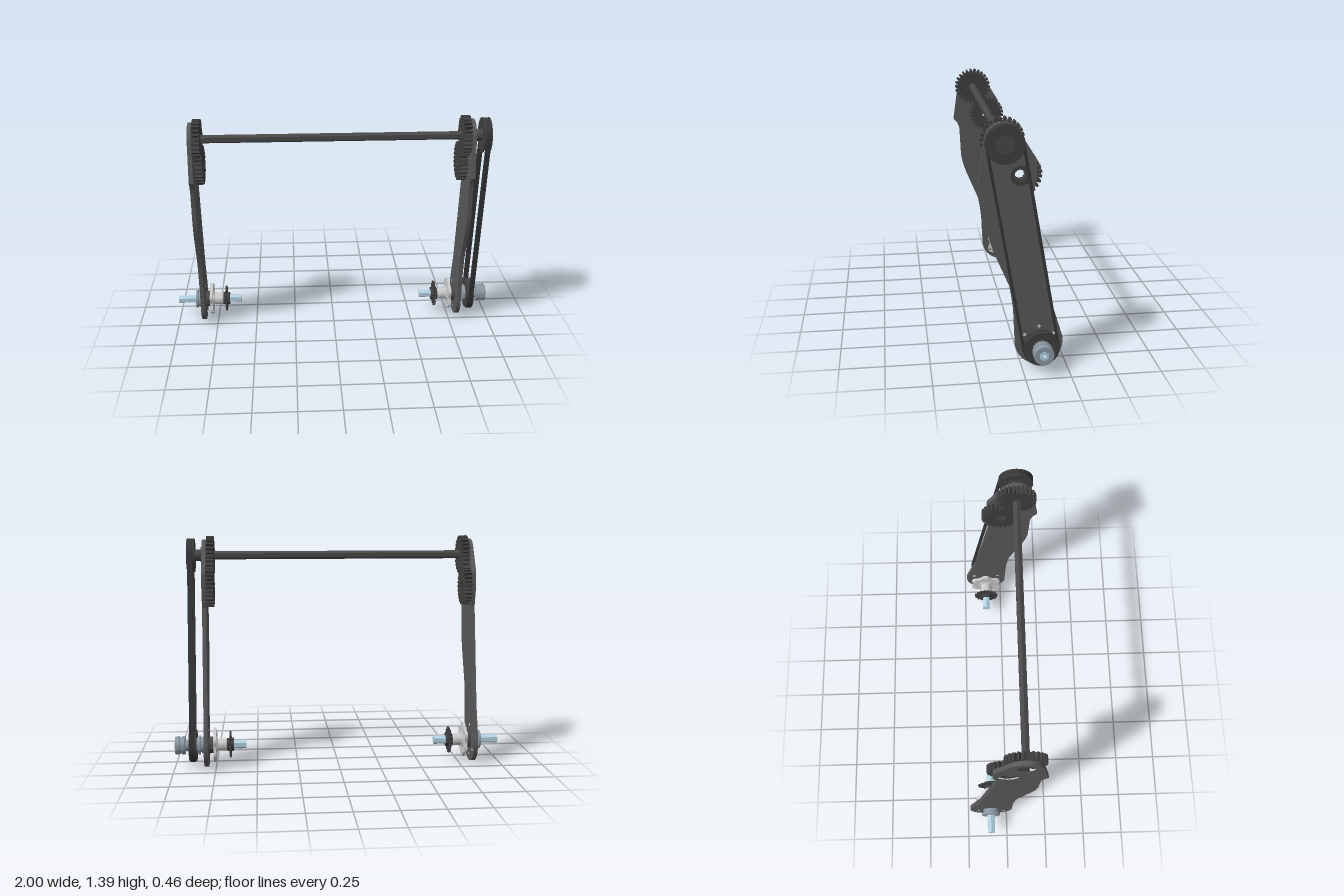
import * as THREE from 'three';
import { toCreasedNormals } from 'three/addons/utils/BufferGeometryUtils.js';

const TAU = Math.PI * 2;
const mat = (color) => new THREE.MeshStandardMaterial({ color });
const M = {
  plate: mat(0x5a5a5a), gear: mat(0x404040), belt: mat(0x363636), shaft: mat(0x484848),
  axle: mat(0xb2d2e2), collar: mat(0x8c9aa4), white: mat(0xe8e8e8),
};
// Axis positions as [z, y]
const TOP = [0.1, 1.278], IDLER = [0.007, 1.088], LOW = [-0.1, 0.134];

const circle = (r, cx = 0, cy = 0) => new THREE.Path().absarc(cx, cy, r, 0, TAU, true);

function polygon(n, r, phase = 0) {
  const pts = [];
  for (let i = 0; i < n; i++) {
    const a = phase + (i / n) * TAU;
    pts.push(new THREE.Vector2(r * Math.cos(a), r * Math.sin(a)));
  }
  return new THREE.Shape(pts);
}

// Wheel outline with n tapered teeth
function toothed(n, root, tip, phase = 0, base = 0.36, crest = 0.21) {
  const pts = [];
  for (let i = 0; i < n; i++) {
    for (const [o, r] of [[-base, root], [-crest, tip], [crest, tip], [base, root]]) {
      const a = phase + ((i + o) / n) * TAU;
      pts.push(new THREE.Vector2(r * Math.cos(a), r * Math.sin(a)));
    }
  }
  return new THREE.Shape(pts);
}

// Outline drawn in (z, y), extruded along x from xa to xb
function slab(name, shape, xa, xb, material, [z, y] = [0, 0]) {
  const x0 = Math.min(xa, xb), x1 = Math.max(xa, xb);
  let g = new THREE.ExtrudeGeometry(shape, { depth: x1 - x0, bevelEnabled: false, curveSegments: 32 });
  g.translate(0, 0, -x1);
  g.rotateY(-Math.PI / 2);
  g = toCreasedNormals(g, 0.4);
  const m = new THREE.Mesh(g, material);
  m.name = name;
  m.position.set(0, y, z);
  return m;
}

// Turned part around an x axis; profile points are [radius, outward distance]
function turned(name, profile, cx, s, material, [z, y]) {
  let g = new THREE.LatheGeometry(profile.map(([r, t]) => new THREE.Vector2(r, t)), 40);
  g.rotateZ((-s * Math.PI) / 2);
  g = toCreasedNormals(g, 0.5);
  const m = new THREE.Mesh(g, material);
  m.name = name;
  m.position.set(cx, y, z);
  return m;
}

// Arm outline: over the top, down the front edge, round the foot, up the back edge
function plateShape() {
  const s = new THREE.Shape();
  s.absarc(TOP[0], TOP[1], 0.097, Math.PI * 0.85, 0.1, true);
  for (const [z, y] of [[0.23, 1.05], [0.205, 1.02], [0.19, 0.98], [0.181, 0.79],
    [0.172, 0.74], [0.15, 0.67], [0.065, 0.47], [0.055, 0.42], [0.042, 0.33]]) s.lineTo(z, y);
  s.absarc(LOW[0], LOW[1], 0.133, 0.03, Math.PI - 0.28, true);
  for (const [z, y] of [[-0.165, 0.375], [-0.055, 0.97], [-0.08, 1.08], [-0.075, 1.18]])
    s.lineTo(z, y);
  s.closePath();
  s.holes.push(circle(0.05, ...TOP), circle(0.055, ...IDLER), circle(0.045, ...LOW));
  for (let i = 0; i < 6; i++) {
    const a = ((i + 0.5) / 6) * TAU;
    s.holes.push(circle(0.009, LOW[0] + 0.094 * Math.cos(a), LOW[1] + 0.094 * Math.sin(a)));
  }
  return s;
}

// Six-lobed mounting flange
function flangeShape() {
  const pts = [];
  for (let i = 0; i < 96; i++) {
    const a = (i / 96) * TAU;
    const r = 0.098 - 0.01 * Math.cos(6 * a);
    pts.push(new THREE.Vector2(r * Math.cos(a), r * Math.sin(a)));
  }
  const s = new THREE.Shape(pts);
  for (let i = 0; i < 6; i++) {
    const a = ((i + 0.5) / 6) * TAU;
    s.holes.push(circle(0.009, 0.094 * Math.cos(a), 0.094 * Math.sin(a)));
  }
  return s;
}

// One arm: s is the outward direction, cx the middle of the plate
function makeArm(name, s, cx, axleEnd) {
  const arm = new THREE.Group();
  arm.name = name;
  const X = (t) => cx + s * t;
  arm.add(slab('armPlate', plateShape(), X(-0.0125), X(0.0125), M.plate));

  // Meshing gears on the inner face
  const drive = toothed(26, 0.095, 0.118, 0.02);
  drive.holes.push(circle(0.021));
  const idler = toothed(26, 0.095, 0.118, Math.PI / 26);
  idler.holes.push(toothed(10, 0.031, 0.026));
  arm.add(slab('driveGear', drive, X(-0.058), X(-0.0135), M.gear, TOP));
  arm.add(slab('idlerGear', idler, X(-0.058), X(-0.0135), M.gear, IDLER));
  const ring = polygon(40, 0.054);
  ring.holes.push(circle(0.034));
  arm.add(slab('idlerBearing', ring, X(-0.0135), X(0.005), M.gear, IDLER));

  // Hollow hexagonal axle
  const hex = polygon(6, 0.027, Math.PI / 6);
  hex.holes.push(circle(0.01));
  arm.add(slab('axle', hex, X(-0.24), axleEnd, M.axle, LOW));

  // Bearing through the plate and the outer collar
  arm.add(turned('bearing', [[0.023, -0.04], [0.05, -0.04], [0.05, -0.013], [0.044, -0.012], [0.044, 0.02],
    [0.023, 0.02]], cx, s, M.shaft, LOW));
  arm.add(turned('collar', [[0.023, 0.013], [0.05, 0.013], [0.05, 0.03], [0.044, 0.03], [0.044, 0.036],
    [0.058, 0.038], [0.058, 0.05], [0.023, 0.05]], cx, s, M.collar, LOW));

  // Wheel hub with flange and sprocket
  arm.add(slab('hubFlange', flangeShape(), X(-0.06), X(-0.043), M.white, LOW));
  arm.add(turned('hubBarrel', [[0.023, -0.125], [0.033, -0.125], [0.037, -0.12], [0.037, -0.068], [0.048, -0.065],
    [0.048, -0.039], [0.023, -0.039]], cx, s, M.white, LOW));
  arm.add(turned('sprocketHub', [[0.023, -0.165], [0.04, -0.165], [0.04, -0.124], [0.023, -0.124]], cx, s, M.gear, LOW));
  arm.add(slab('sprocket', toothed(18, 0.066, 0.081, 0, 0.42, 0.12), X(-0.149), X(-0.139), M.gear, LOW));
  return arm;
}

// Outline of a belt loop of the given radius around both pulleys
function loop(Type, r) {
  const a = Math.atan2(TOP[1] - LOW[1], TOP[0] - LOW[0]), q = Math.PI / 2;
  const p = new Type();
  p.absarc(TOP[0], TOP[1], r, a - q, a + q, false);
  p.absarc(LOW[0], LOW[1], r, a + q, a + 3 * q, false);
  p.closePath();
  return p;
}

export function createModel() {
  const model = new THREE.Group();
  model.name = 'twinArmDrive';
  model.add(makeArm('rightArm', -1, -0.8375, -1));
  model.add(makeArm('leftArm', 1, 0.8065, 1));

  // Cross shaft
  model.add(slab('crossShaft', polygon(6, 0.025, Math.PI / 6), -0.83, 0.912, M.shaft, TOP));

  // Belt drive outside the left arm
  const drive = new THREE.Group();
  drive.name = 'beltDrive';
  const belt = loop(THREE.Shape, 0.102);
  belt.holes.push(loop(THREE.Path, 0.088));
  drive.add(slab('belt', belt, 0.875, 0.905, M.belt));
  for (const [name, at, r] of [['upperPulley', TOP, 0.103], ['lowerPulley', LOW, 0.096]]) {
    drive.add(turned(name, [[0.046, 0.866], [r, 0.866], [r, 0.874], [0.087, 0.875], [0.087, 0.905],
      [r, 0.906], [r, 0.911], [0.046, 0.911], [0.046, 0.866]], 0, 1, M.gear, at));
  }
  drive.add(slab('upperPulleySpline', toothed(12, 0.041, 0.05), 0.865, 0.913, M.shaft, TOP));
  drive.add(turned('upperSpacer', [[0.022, 0.805], [0.05, 0.805], [0.05, 0.828], [0.035, 0.828], [0.035, 0.868]],
    0, 1, M.shaft, TOP));
  drive.add(turned('lowerSpacer', [[0.023, 0.85], [0.05, 0.85], [0.05, 0.914], [0.023, 0.914]], 0, 1, M.collar, LOW));
  drive.add(turned('endCollar', [[0.023, 0.912], [0.036, 0.912], [0.036, 0.935], [0.056, 0.937], [0.056, 0.955],
    [0.05, 0.957], [0.05, 0.968], [0.056, 0.97], [0.056, 0.993], [0.052, 0.997], [0.023, 0.997]],
    0, 1, M.collar, LOW));
  model.add(drive);
  return model;
}
